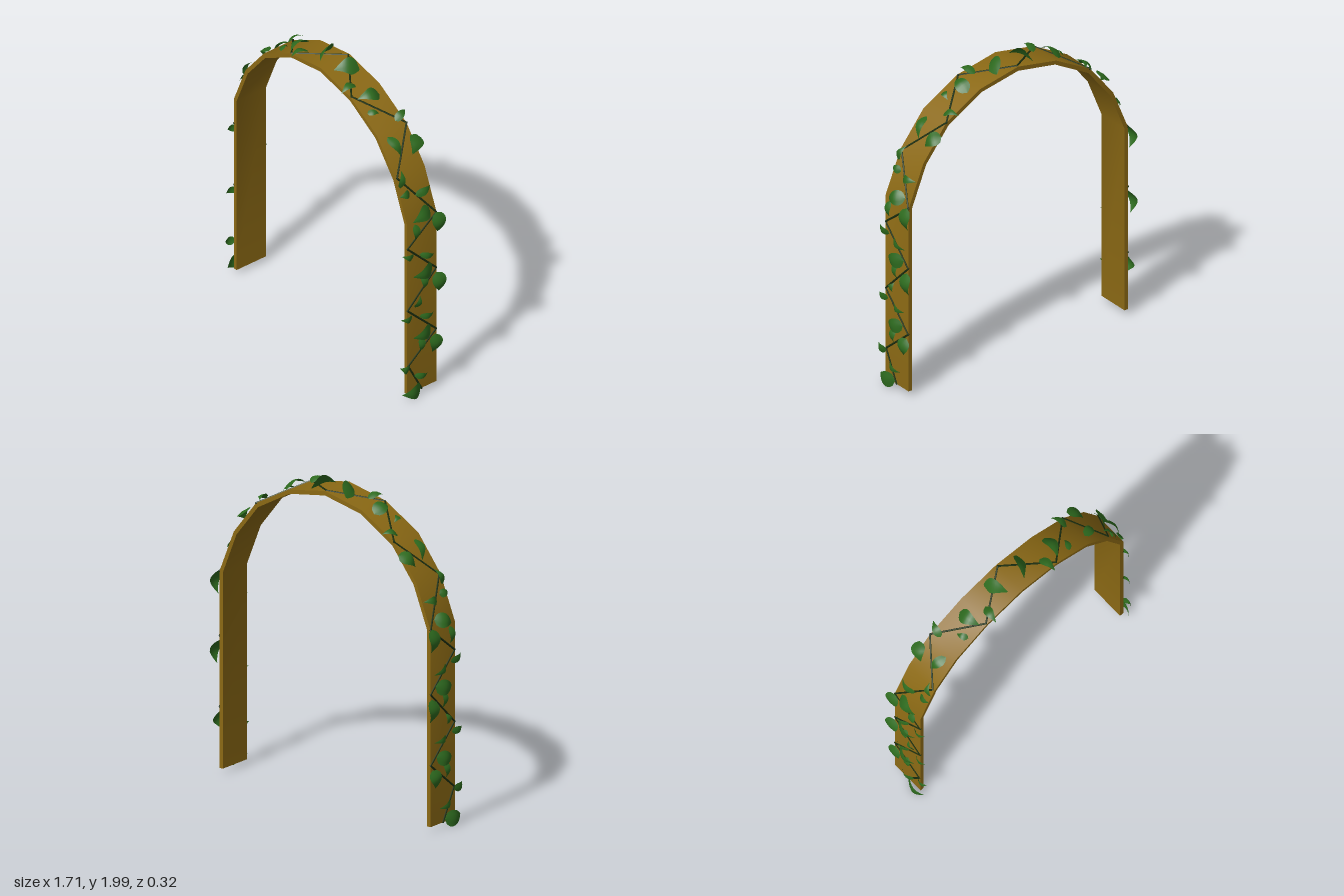
import * as THREE from 'three';
import { toCreasedNormals } from 'three/addons/utils/BufferGeometryUtils.js';

const wood = new THREE.MeshStandardMaterial({ color: 0x8b6914 });
const stem = new THREE.MeshStandardMaterial({ color: 0x1c3010 });
const green = new THREE.MeshStandardMaterial({ color: 0x2d6a1e, side: THREE.DoubleSide });

// Half profile of the arch, foot to crown
const outer = [[0.81, 0.04], [0.81, 1.26], [0.70, 1.53], [0.53, 1.745], [0.28, 1.885], [0, 1.94]];
const inner = [[0.785, 0.04], [0.785, 1.255], [0.68, 1.515], [0.515, 1.722], [0.272, 1.861], [0, 1.912]];

// Frame on the outer face at distance s along it from the foot
function frameAt(s) {
  for (let i = 0; i < outer.length - 1; i++) {
    const a = new THREE.Vector3(...outer[i], 0), b = new THREE.Vector3(...outer[i + 1], 0);
    const length = a.distanceTo(b);
    if (s <= length || i === outer.length - 2) {
      const along = b.sub(a).normalize();
      return { point: a.addScaledVector(along, s), along, out: new THREE.Vector3(along.y, -along.x, 0) };
    }
    s -= length;
  }
}

function makeArch() {
  const mirror = pts => pts.slice(0, -1).reverse().map(([x, y]) => [-x, y]);
  const loop = [...outer, ...mirror(outer), ...mirror(inner).reverse(), ...inner.slice().reverse()];
  const shape = new THREE.Shape(loop.map(p => new THREE.Vector2(...p)));
  const geo = new THREE.ExtrudeGeometry(shape, { depth: 0.22, bevelEnabled: false });
  geo.translate(0, 0, -0.112);
  const arch = new THREE.Mesh(toCreasedNormals(geo, 0.6), wood);
  arch.name = 'arch';
  return arch;
}

// Zigzag vine corners: [x, y, z]
const vinePoints = [
  [0.81, 0.04, 0], [0.81, 0.24, 0.1], [0.81, 0.42, -0.11], [0.81, 0.64, 0.105], [0.81, 0.86, -0.11],
  [0.81, 1.085, 0.105], [0.81, 1.26, -0.11], [0.70, 1.53, 0.095], [0.53, 1.745, -0.112],
  [0.28, 1.885, 0.1], [0, 1.94, -0.1],
].map(p => new THREE.Vector3(...p));

function makeVine() {
  const vine = new THREE.Group();
  vine.name = 'vine';
  for (let i = 0; i < vinePoints.length - 1; i++) {
    const a = vinePoints[i], dir = vinePoints[i + 1].clone().sub(a);
    const mesh = new THREE.Mesh(new THREE.CylinderGeometry(0.006, 0.006, dir.length() + 0.006, 6), stem);
    mesh.position.copy(a).addScaledVector(dir, 0.5);
    mesh.quaternion.setFromUnitVectors(new THREE.Vector3(0, 1, 0), dir.normalize());
    mesh.name = 'vineSegment';
    vine.add(mesh);
  }
  return vine;
}

// Leaves: base s, base z, tip s, tip z, width, sideways tilt
const leaves = [
  [0.02, 0.01, 0.015, 0.15, 0.1], [0.18, 0.095, 0.215, 0.165, 0.055], [0.12, 0.06, 0.095, -0.04, 0.04],
  [0.35, -0.1, 0.23, -0.075, 0.095], [0.375, 0.01, 0.275, 0.02, 0.05], [0.42, -0.065, 0.39, 0.07, 0.09],
  [0.53, 0.02, 0.515, -0.085, 0.04], [0.545, 0.075, 0.56, 0.16, 0.045], [0.605, 0.05, 0.675, 0.015, 0.045],
  [0.79, -0.105, 0.65, -0.125, 0.095], [0.82, 0, 0.715, -0.015, 0.045], [0.86, -0.075, 0.83, 0.07, 0.095],
  [0.975, 0.02, 0.935, -0.09, 0.04], [0.98, 0.065, 1.015, 0.15, 0.045], [1.205, 0.055, 1.095, 0.055, 0.05],
  [1.225, -0.105, 1.08, -0.115, 0.095], [1.27, -0.065, 1.22, 0.07, 0.09], [1.37, 0.005, 1.39, -0.11, 0.05],
  [1.40, 0.04, 1.40, 0.115, 0.05], [1.45, 0.095, 1.55, 0.06, 0.045], [1.755, 0.05, 1.62, 0.015, 0.06],
  [1.7, -0.14, 1.6, -0.06, 0.095], [1.82, -0.05, 1.86, -0.15, 0.05], [1.935, 0.08, 1.905, 0.01, 0.04],
  [2.01, -0.065, 2.04, 0.08, 0.085], [2.138, 0.025, 2.118, 0.14, 0.055],
  [2.225, -0.08, 2.295, 0.06, 0.075, -0.95],
];

// Pointed leaf that bows away from the arch between its base and tip
function makeLeaf([s0, z0, s1, z1, width, tilt = 0]) {
  const { point, along, out } = frameAt((s0 + s1) / 2);
  const ds = s1 - s0, dz = z1 - z0, length = Math.hypot(ds, dz);
  const geo = new THREE.PlaneGeometry(1, 1, 4, 10);
  const pos = geo.attributes.position;
  const v = new THREE.Vector3();
  for (let i = 0; i < pos.count; i++) {
    const t = pos.getY(i) + 0.5;
    const half = Math.sin(Math.PI * Math.pow(t, 0.65)) * (1 - 0.2 * t) * 1.1;
    const u = pos.getX(i) * width * half;
    const s = ds * (t - 0.5) - dz / length * u;
    const z = z0 + dz * t + ds / length * u;
    const h = 0.006 + 0.26 * length * Math.sin(Math.PI * t) - 0.15 * Math.abs(u) + tilt * u;
    v.copy(point).addScaledVector(along, s).addScaledVector(out, h);
    pos.setXYZ(i, v.x, v.y, z);
  }
  geo.computeVertexNormals();
  const leaf = new THREE.Mesh(geo, green);
  leaf.name = 'leaf';
  return leaf;
}

export function createModel() {
  const model = new THREE.Group();
  model.name = 'gardenArch';
  model.add(makeArch());
  // The same climbing plant on both halves, mirrored
  for (const side of [1, -1]) {
    const plant = new THREE.Group();
    plant.name = side > 0 ? 'leftPlant' : 'rightPlant';
    plant.add(makeVine(), ...leaves.map(makeLeaf));
    plant.scale.x = side;
    model.add(plant);
  }
  return model;
}
